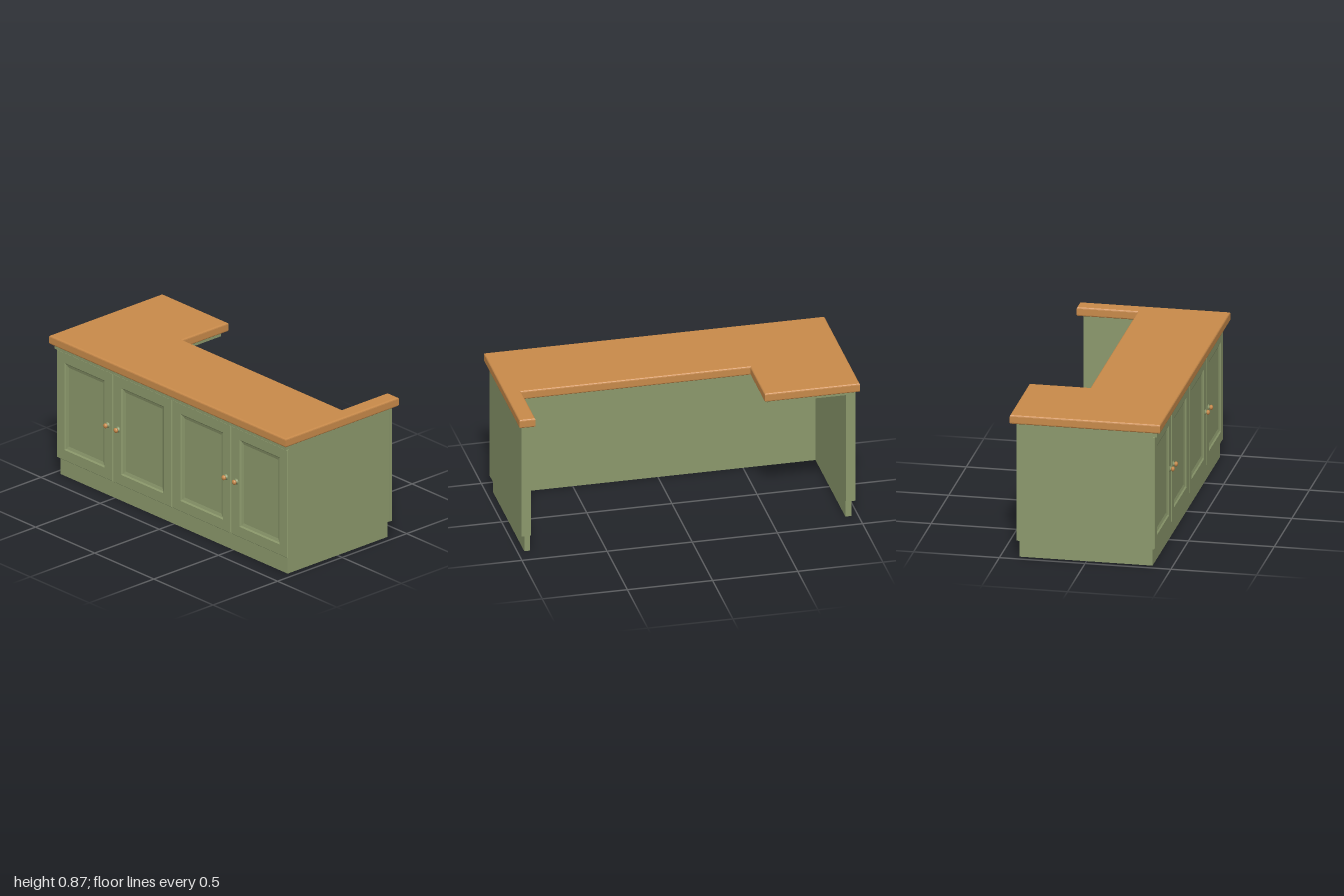
import * as THREE from 'three';

const green = new THREE.MeshStandardMaterial({ color: 0x8c996c });
green.name = 'sage paint';
const wood = new THREE.MeshStandardMaterial({ color: 0xc88a4a });
wood.name = 'warm wood';

function add(parent, name, geometry, material) {
  const mesh = new THREE.Mesh(geometry, material);
  mesh.name = name;
  parent.add(mesh);
  return mesh;
}

// Box given by its lower and upper corners
function block(parent, name, [x0, y0, z0], [x1, y1, z1], material = green) {
  const mesh = add(parent, name, new THREE.BoxGeometry(x1 - x0, y1 - y0, z1 - z0), material);
  mesh.position.set((x0 + x1) / 2, (y0 + y1) / 2, (z0 + z1) / 2);
  return mesh;
}

// Plan outline of [x, z] points, extruded upwards from y0 to y1
function slab(points, y0, y1, bevel = 0) {
  const shape = new THREE.Shape(points.map(([x, z]) => new THREE.Vector2(x, -z)));
  const g = new THREE.ExtrudeGeometry(shape, {
    depth: y1 - y0 - 2 * bevel, bevelEnabled: bevel > 0,
    bevelSize: bevel, bevelThickness: bevel, bevelOffset: -bevel, bevelSegments: 3,
  });
  return g.rotateX(-Math.PI / 2).translate(0, y0 + bevel, 0);
}

// U-shaped wall, open at the back
function wallOutline(x, front, back) {
  const xi = 0.925, zi = 0.345;
  return [[-x, back], [-x, front], [x, front], [x, back],
    [xi, back], [xi, zi], [-xi, zi], [-xi, back]];
}

// Door front made of nested rectangles: edge, frame, sloped moulding, sunk panel
function doorGeometry(w, h) {
  const rings = [[0, 0], [0, 0.011], [0.004, 0.015], [0.066, 0.015], [0.074, 0.008], [0.092, 0.003]];
  const corner = ([inset, z], i) => {
    const sx = i === 0 || i === 3 ? -1 : 1, sy = i < 2 ? -1 : 1;
    return [sx * (w / 2 - inset), sy * (h / 2 - inset), z];
  };
  const pos = [];
  const quad = (a, b, c, d) => pos.push(...a, ...b, ...c, ...a, ...c, ...d);
  for (let r = 0; r < rings.length - 1; r++) {
    for (let i = 0; i < 4; i++) {
      const j = (i + 1) % 4;
      quad(corner(rings[r], i), corner(rings[r], j), corner(rings[r + 1], j), corner(rings[r + 1], i));
    }
  }
  quad(...[0, 1, 2, 3].map(i => corner(rings[rings.length - 1], i)));
  const g = new THREE.BufferGeometry();
  g.setAttribute('position', new THREE.Float32BufferAttribute(pos, 3));
  g.computeVertexNormals();
  return g;
}

function lathe(points) {
  return new THREE.LatheGeometry(points.map(p => new THREE.Vector2(...p)), 16).rotateX(Math.PI / 2);
}

export function createModel() {
  const model = new THREE.Group();
  model.name = 'counter';

  // Plinth and cabinet walls
  add(model, 'plinth', slab(wallOutline(0.96, 0.385, -0.39), 0, 0.103), green);
  add(model, 'cabinetWalls', slab(wallOutline(0.978, 0.386, -0.386), 0.103, 0.815), green);

  // Trim posts closing the back ends of the side walls
  for (const s of [-1, 1]) {
    const x = [0.925 * s, 0.981 * s].sort((a, b) => a - b);
    block(model, 'backPost', [x[0], 0.103, -0.405], [x[1], 0.815, -0.387]);
  }

  // Rail above the doors
  block(model, 'frontRail', [-0.98, 0.785, 0.38], [0.98, 0.815, 0.414]);

  // Apron under the inner edge of the worktop
  block(model, 'apronMiddle', [-0.48, 0.785, -0.06], [0.93, 0.815, -0.04]);
  block(model, 'apronWingSide', [-0.485, 0.785, -0.4], [-0.465, 0.815, -0.04]);
  block(model, 'apronWingBack', [-0.93, 0.785, -0.405], [-0.465, 0.815, -0.385]);

  // Four doors in two pairs, knobs where each pair meets
  const edges = [-0.98, -0.5, 0, 0.5, 0.98];
  for (let i = 0; i < 4; i++) {
    const w = edges[i + 1] - edges[i] - 0.008, h = 0.675;
    const door = new THREE.Group();
    door.name = 'door';
    door.position.set((edges[i] + edges[i + 1]) / 2, 0.442, 0.386);
    add(door, 'doorPanel', doorGeometry(w, h), green);
    const knob = new THREE.Group();
    knob.name = 'knob';
    knob.position.set((i % 2 ? -1 : 1) * (w / 2 - 0.04), 0.003, 0.014);
    add(knob, 'knobBase', lathe([[0.02, 0], [0.012, 0.005], [0.009, 0.014]]), green);
    add(knob, 'knobHead', lathe([[0, 0.009], [0.01, 0.01], [0.015, 0.016], [0.014, 0.023], [0.008, 0.028], [0, 0.029]]), wood);
    door.add(knob);
    model.add(door);
  }

  // Worktop with a wide wing on one end and a narrow one on the other
  add(model, 'worktop', slab([
    [-1, -0.44], [-1, 0.437], [1, 0.437], [1, -0.44],
    [0.905, -0.44], [0.905, -0.085], [-0.44, -0.085], [-0.44, -0.44],
  ], 0.812, 0.867, 0.01), wood);

  return model;
}
